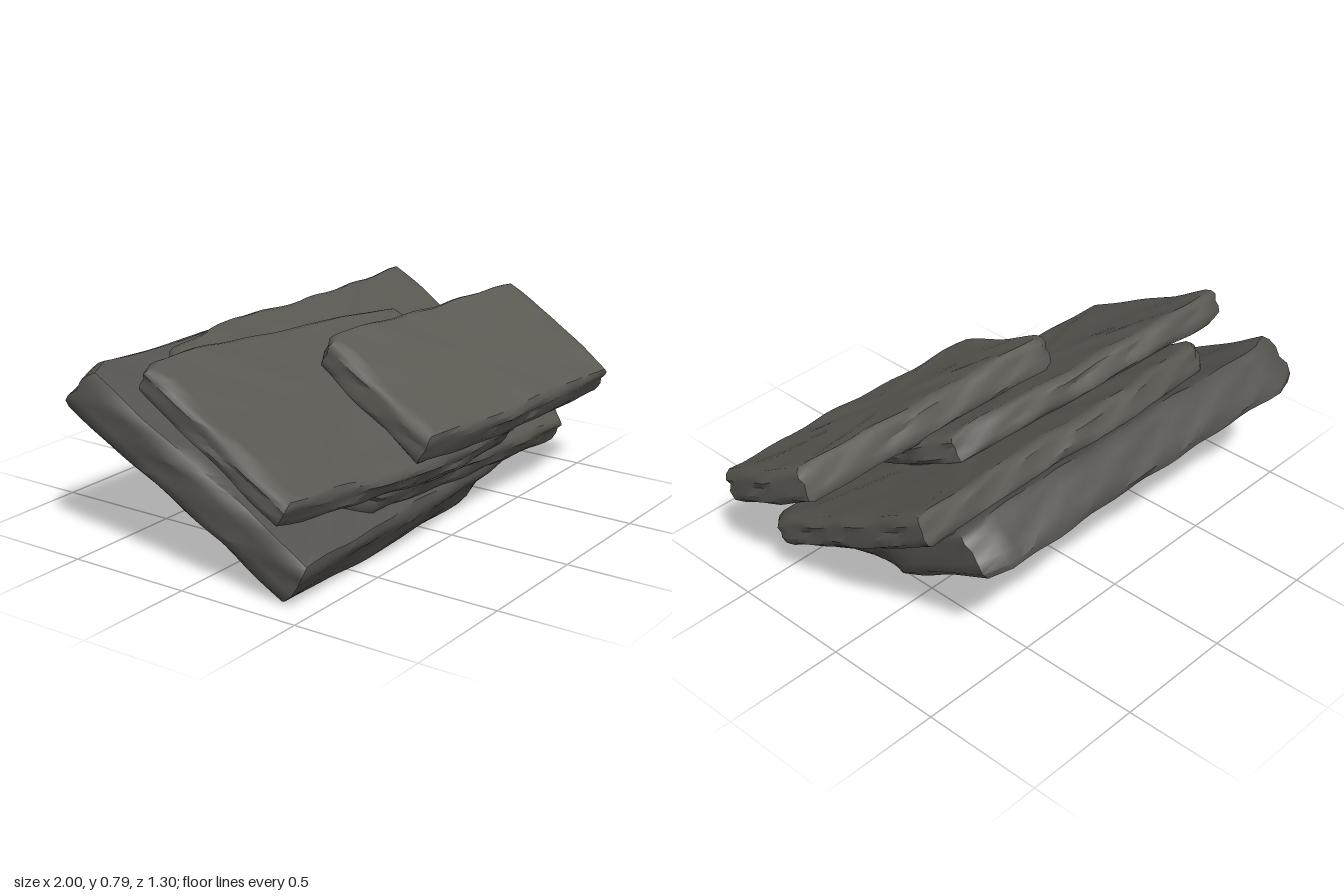
import * as THREE from 'three';
import { toCreasedNormals } from 'three/addons/utils/BufferGeometryUtils.js';

const TILT = Math.atan2(0.49, 0.87);

// Smooth deterministic waviness for the weathered surface
const wave = (a, b, c) =>
  Math.sin(a * 9.1 + c) * Math.cos(b * 7.3 + c * 1.7) * 0.6 +
  Math.sin(a * 21.7 + b * 15.1 + c * 2.3) * 0.4;

// Cross-section rings as [scale, inset, height], from bottom centre to top centre
const RINGS = [
  [0, 0, 0], [0.35, 0, 0], [0.7, 0, 0], [0.9, 0, 0], [1, 0.035, 0],
  [1, 0.008, 0.13], [1, 0, 0.35], [1, 0.008, 0.55], [1, 0, 0.75], [1, 0.01, 0.9], [1, 0.03, 1],
  [0.9, 0, 1], [0.7, 0, 1], [0.35, 0, 1], [0, 0, 1],
];

// Outline corners are [across, upSlope] with an optional second pair for the underside
function slabGeometry(corners, low, high, seed) {
  const outline = [];
  corners.forEach((p, i) => {
    const q = corners[(i + 1) % corners.length];
    const full = (c) => (c.length === 4 ? c : [...c, ...c]);
    const a = full(p), b = full(q);
    const steps = Math.max(1, Math.round(Math.hypot(b[0] - a[0], b[1] - a[1]) / 0.06));
    for (let s = 0; s < steps; s++) outline.push(a.map((v, k) => v + (b[k] - v) * s / steps));
  });
  const n = outline.length;
  const cx = outline.reduce((s, p) => s + p[0], 0) / n;
  const cu = outline.reduce((s, p) => s + p[1], 0) / n;

  const positions = [], index = [];
  RINGS.forEach(([scale, inset, t], r) => {
    outline.forEach((p, j) => {
      const dx = THREE.MathUtils.lerp(p[2], p[0], t) - cx;
      const du = THREE.MathUtils.lerp(p[3], p[1], t) - cu;
      const k = scale * (1 - inset / Math.hypot(dx, du));
      const x = cx + dx * k, u = cu + du * k;
      const h = low + (high - low) * t;
      const edge = scale === 1 ? 0.007 : 0;
      positions.push(
        x + edge * wave(u, h * 4, seed),
        h + 0.008 * wave(x, u, seed + t * 3),
        -(u + edge * wave(x, h * 4, seed + 5)),
      );
      if (r < RINGS.length - 1) {
        const a = r * n + j, b = r * n + (j + 1) % n;
        index.push(a, b, b + n, a, b + n, a + n);
      }
    });
  });
  const geometry = new THREE.BufferGeometry();
  geometry.setAttribute('position', new THREE.Float32BufferAttribute(positions, 3));
  geometry.setIndex(index);
  return toCreasedNormals(geometry, 0.75);
}

export function createModel() {
  const model = new THREE.Group();
  model.name = 'layeredRock';
  const strata = new THREE.Group();
  strata.name = 'tiltedStrata';
  strata.rotation.x = TILT;
  model.add(strata);

  const addSlab = (name, color, low, high, seed, corners) => {
    const mesh = new THREE.Mesh(
      slabGeometry(corners, low, high, seed),
      new THREE.MeshStandardMaterial({ color }),
    );
    mesh.name = name;
    strata.add(mesh);
  };

  // Broad base layer, its underside cut away at the front corner
  addSlab('baseSlab', 0x55534f, 0.19, 0.39, 1, [
    [-0.91, -0.34, -0.9, -0.32], [-0.3, -0.33], [0.3, -0.32, 0.25, -0.31],
    [0.8, -0.31, 0.45, -0.16], [0.83, -0.1, 0.62, 0.05], [0.8, 0.3, 0.75, 0.25],
    [0.78, 0.72, 0.78, 0.76], [0.7, 0.76, 0.7, 0.81], [-0.1, 0.79, -0.1, 0.83],
    [-0.83, 0.81, -0.83, 0.86], [-0.93, 0.77, -0.93, 0.82],
  ]);

  // Second layer, shifted to one side
  addSlab('lowerMiddleSlab', 0x5a5751, 0.375, 0.5, 2, [
    [-0.62, -0.1], [-0.42, -0.26], [0.2, -0.31], [0.8, -0.34], [0.87, -0.25],
    [0.9, 0.3], [0.91, 0.7], [0.2, 0.7], [-0.2, 0.73], [-0.6, 0.68], [-0.69, 0.6],
  ]);

  // Third layer, shifted the other way
  addSlab('upperMiddleSlab', 0x5a5852, 0.495, 0.612, 3, [
    [-1, -0.2], [-0.33, -0.3], [0, -0.32], [0.34, -0.31], [0.42, -0.1], [0.47, 0.2],
    [0.45, 0.42], [0.15, 0.47], [-0.6, 0.56], [-0.88, 0.57], [-0.95, 0.54],
  ]);

  // Short top layer
  addSlab('topSlab', 0x5d5a54, 0.602, 0.742, 4, [
    [-0.33, -0.28], [0.2, -0.335], [0.94, -0.345], [0.97, -0.2], [0.995, 0.0],
    [0.99, 0.24], [0.4, 0.28], [-0.2, 0.315], [-0.25, 0.28],
  ]);

  return model;
}
